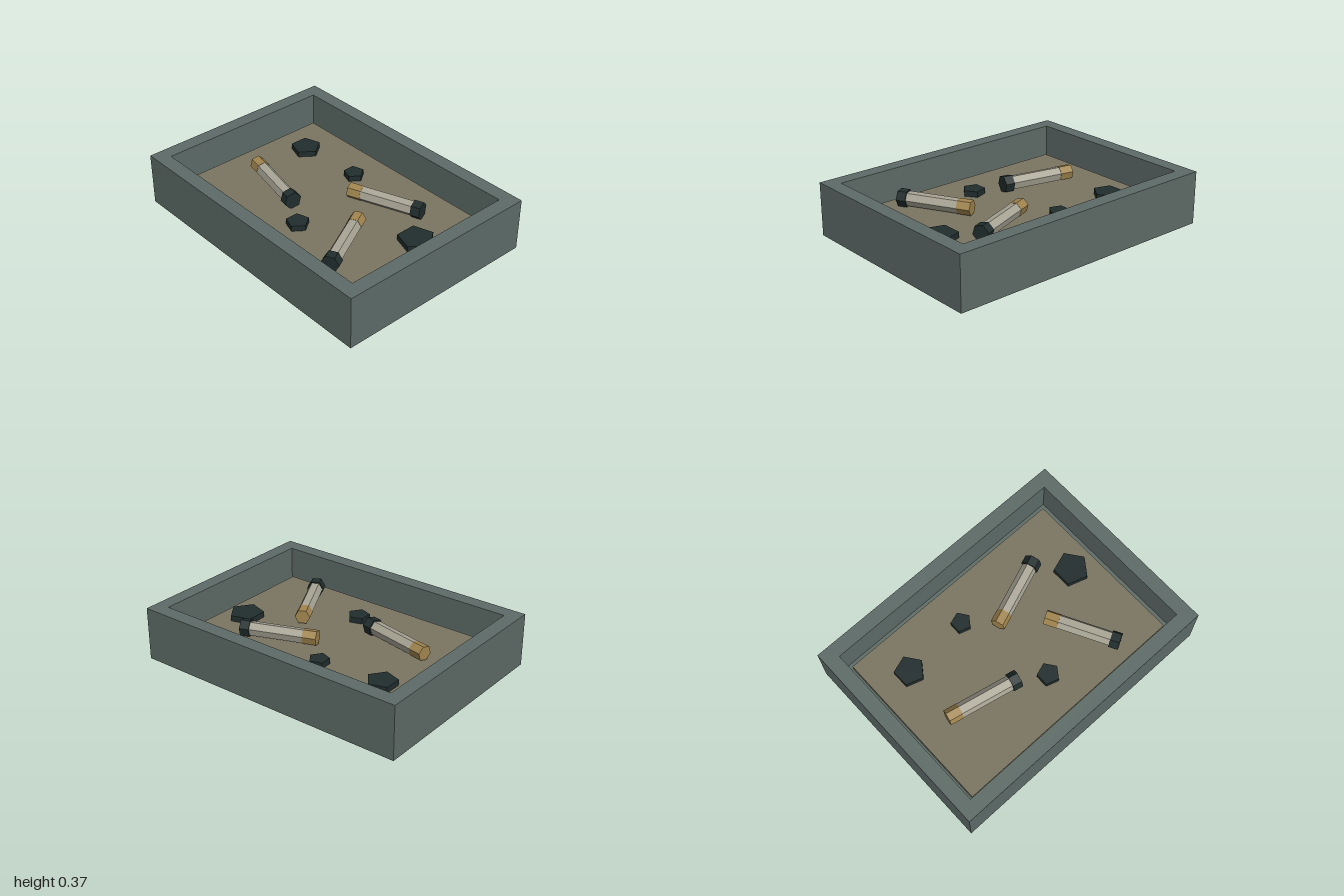
import * as THREE from 'three';

const paint = (name, color) => {
  const m = new THREE.MeshStandardMaterial({ color, flatShading: true });
  m.name = name;
  return m;
};

export function createModel() {
  const slate = paint('slate', 0x5d6b67);
  const sandy = paint('sand', 0x7b7561);
  const dark = paint('darkStone', 0x212d2d);
  const ivory = paint('ivory', 0xa9a696);
  const gold = paint('ochre', 0xa1854f);

  const group = new THREE.Group();
  group.name = 'tray';
  const add = (parent, name, geometry, material, x = 0, y = 0, z = 0) => {
    const mesh = new THREE.Mesh(geometry, material);
    mesh.name = name;
    mesh.position.set(x, y, z);
    parent.add(mesh);
    return mesh;
  };

  const W = 1, D = 0.73, H = 0.372, WALL = 0.1, FLOOR = 0.12, SAND = 0.17;

  // Rim: a rectangular frame extruded upwards
  const rectangle = (Type, w, d) => new Type([
    new THREE.Vector2(-w, -d), new THREE.Vector2(w, -d),
    new THREE.Vector2(w, d), new THREE.Vector2(-w, d)]);
  const frame = rectangle(THREE.Shape, W, D);
  frame.holes.push(rectangle(THREE.Path, W - WALL, D - WALL));
  const walls = new THREE.ExtrudeGeometry(frame, { depth: H, bevelEnabled: false });
  walls.rotateX(-Math.PI / 2);
  add(group, 'walls', walls, slate);

  // Floor, and the bed standing clear of the walls
  add(group, 'floor', new THREE.BoxGeometry(2 * (W - WALL), FLOOR, 2 * (D - WALL)), slate, 0, FLOOR / 2);
  add(group, 'sandBed', new THREE.BoxGeometry(1.716, SAND - FLOOR, 1.18), sandy, 0, (SAND + FLOOR) / 2);

  // Flat five-sided stones: x, z, radius
  [[-0.604, -0.305, 0.104], [-0.13, -0.33, 0.071], [0.68, -0.118, 0.121], [0.05, 0.325, 0.077]]
    .forEach(([x, z, r]) => {
      const stone = new THREE.CylinderGeometry(r, r, 0.04, 5);
      stone.rotateY(Math.PI / 2);
      add(group, 'stone', stone, dark, x, SAND + 0.02, z);
    });

  // Six-sided tubes lying on the bed: start and end in x and z, roll
  const hexRod = (r, from, to, roll) => {
    const g = new THREE.CylinderGeometry(r, r, to - from, 6);
    g.rotateY(roll);
    g.rotateZ(-Math.PI / 2);
    g.translate((from + to) / 2, 0, 0);
    return g;
  };
  [[0.03, -0.145, 0.525, -0.33, 0.25], [-0.64, 0.108, -0.12, 0.22, 0.25], [0.302, 0.027, 0.545, 0.487, 0]]
    .forEach(([x0, z0, x1, z1, roll]) => {
      const length = Math.hypot(x1 - x0, z1 - z0);
      const tube = new THREE.Group();
      tube.name = 'tube';
      tube.position.set(x0, 0.226, z0);
      tube.rotation.y = -Math.atan2(z1 - z0, x1 - x0);
      // A corner of each hexagon points sideways before the roll
      add(tube, 'tip', hexRod(0.053, 0, 0.095, roll), gold);
      add(tube, 'body', hexRod(0.051, 0.095, length - 0.065, roll), ivory);
      add(tube, 'cap', hexRod(0.061, length - 0.065, length, roll), dark);
      group.add(tube);
    });

  return group;
}
